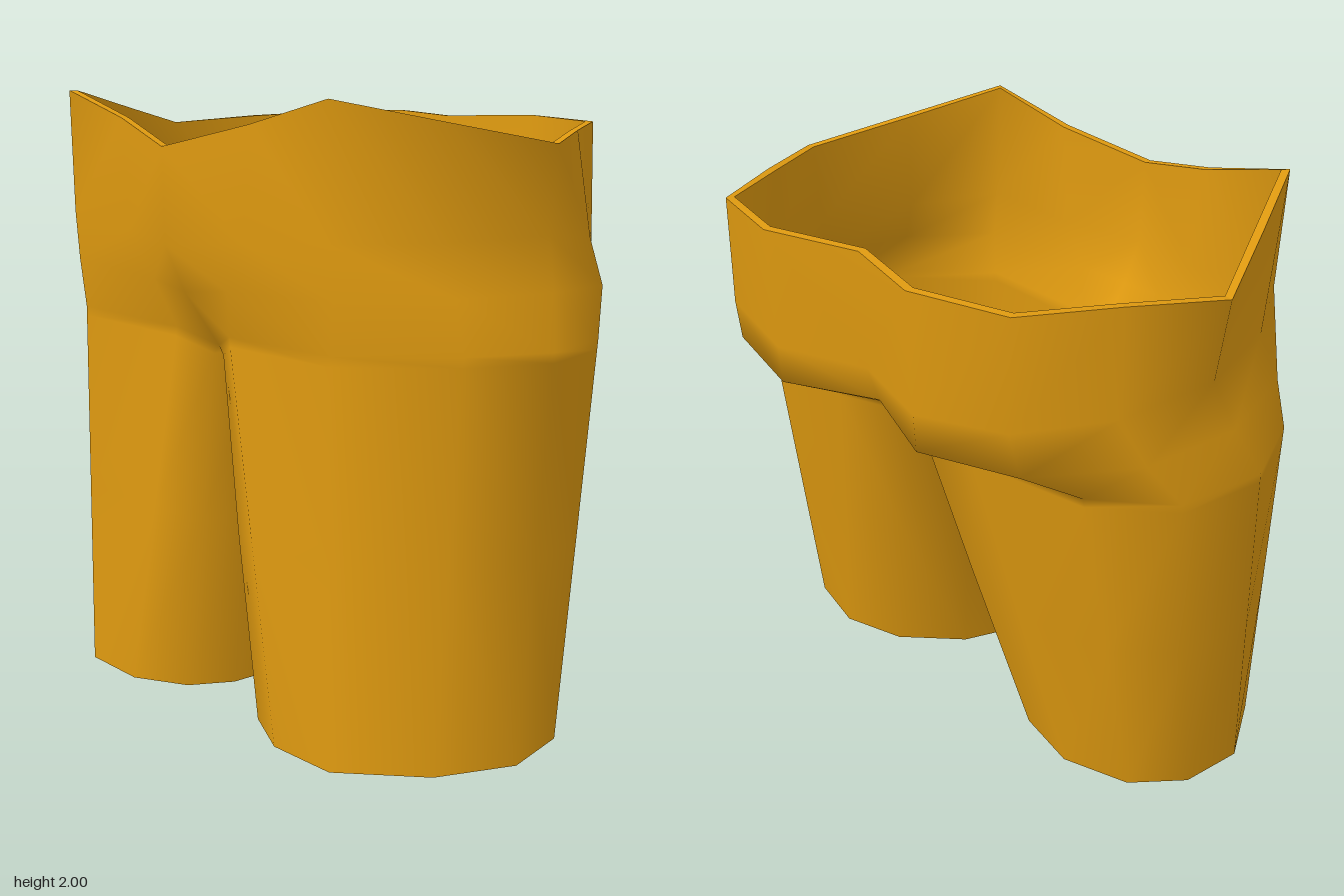
import * as THREE from 'three';
import { mergeVertices } from 'three/addons/utils/BufferGeometryUtils.js';

const THICKNESS = 0.027;

// Cross-sections of the left half, from front centre round the hip to back centre
const waist = [[0, 1.825, 0.70], [0.31, 1.90, 0.62], [0.625, 1.98, 0.60], [0.77, 1.92, 0.28], [0.915, 1.86, -0.05],
  [0.77, 1.89, -0.33], [0.62, 1.91, -0.61], [0.31, 1.92, -0.70], [0, 1.91, -0.60]];
const hip = [[0, 1.53, 0.70], [0.28, 1.55, 0.625], [0.62, 1.58, 0.60], [0.79, 1.58, 0.30], [0.885, 1.59, -0.05],
  [0.80, 1.56, -0.36], [0.62, 1.55, -0.61], [0.31, 1.52, -0.68], [0, 1.52, -0.585]];
const seat = [[0, 1.38, 0.63], [0.18, 1.40, 0.61], [0.62, 1.42, 0.59], [0.85, 1.43, 0.33], [0.94, 1.43, 0],
  [0.88, 1.42, -0.32], [0.64, 1.40, -0.58], [0.31, 1.39, -0.67], [0, 1.39, -0.54]];
// The leg ring continues along the crotch line back to the front
const legTop = [[0, 1.20, 0.50], [0.13, 1.25, 0.565], [0.60, 1.26, 0.585], [0.89, 1.27, 0.34], [1.0, 1.27, 0.07],
  [0.94, 1.27, -0.22], [0.72, 1.28, -0.40], [0.30, 1.28, -0.45], [0, 1.31, -0.41],
  [0, 1.22, -0.14], [0, 1.20, 0.10], [0, 1.20, 0.30]];
const hemOutline = [[0.18, 0.53], [0.36, 0.62], [0.60, 0.615], [0.84, 0.42], [0.965, 0.19], [0.935, -0.03],
  [0.80, -0.185], [0.57, -0.25], [0.345, -0.19], [0.155, -0.02], [0.06, 0.20], [0.09, 0.40]];
const hem = hemOutline.map(([x, z]) => [x, 0.015 + (0.63 - z) * 0.04, z]);

// Leg section between the crotch and the hem, keeping a gap between the legs
function legSection(t) {
  return legTop.map((p, i) => {
    const q = p.map((v, k) => v + (hem[i][k] - v) * t);
    q[0] = Math.max(q[0], 0.022);
    return q;
  });
}

// Slight sideways lean of the garment
function lean([x, y, z]) {
  return [x + 0.022 * (1.1 - y), y - 0.025 * x, z];
}

// Outer surface: both halves welded along the centre line
function outerSurface() {
  const pos = [];
  const tri = (a, b, c, side) => {
    const corners = side > 0 ? [a, b, c] : [a, c, b];
    corners.forEach(([x, y, z]) => pos.push(...lean([x * side, y, z])));
  };
  const band = (upper, lower, count, side) => {
    for (let i = 0; i < count; i++) {
      const j = (i + 1) % upper.length;
      tri(upper[i], lower[i], lower[j], side);
      tri(upper[i], lower[j], upper[j], side);
    }
  };
  const legRows = [legTop, legSection(0.025), legSection(0.5), hem];
  for (const side of [1, -1]) {
    band(waist, hip, 8, side);
    band(hip, seat, 8, side);
    band(seat, legTop, 8, side);
    for (let r = 0; r < 3; r++) band(legRows[r], legRows[r + 1], 12, side);
  }
  const g = new THREE.BufferGeometry();
  g.setAttribute('position', new THREE.Float32BufferAttribute(pos, 3));
  const welded = mergeVertices(g, 1e-4);
  welded.computeVertexNormals();
  return welded;
}

// Lining: outer surface moved inwards and turned inside out
function liningSurface(outer) {
  const g = outer.clone();
  const p = g.attributes.position, n = outer.attributes.normal;
  for (let i = 0; i < p.count; i++) {
    p.setXYZ(i, p.getX(i) - n.getX(i) * THICKNESS, p.getY(i) - n.getY(i) * THICKNESS, p.getZ(i) - n.getZ(i) * THICKNESS);
  }
  const idx = Array.from(outer.index.array);
  for (let i = 0; i < idx.length; i += 3) [idx[i + 1], idx[i + 2]] = [idx[i + 2], idx[i + 1]];
  g.setIndex(idx);
  g.computeVertexNormals();
  return g;
}

// Rims: close every open edge between outer surface and lining
function rimSurface(outer, lining) {
  const idx = outer.index.array, edges = new Set(), pos = [];
  const eachEdge = (fn) => {
    for (let i = 0; i < idx.length; i += 3) {
      for (let k = 0; k < 3; k++) fn(idx[i + k], idx[i + (k + 1) % 3]);
    }
  };
  eachEdge((a, b) => edges.add(a + '_' + b));
  const put = (geo, i) => {
    const p = geo.attributes.position;
    pos.push(p.getX(i), p.getY(i), p.getZ(i));
  };
  eachEdge((a, b) => {
    if (edges.has(b + '_' + a)) return;
    put(outer, b); put(outer, a); put(lining, a);
    put(outer, b); put(lining, a); put(lining, b);
  });
  const g = new THREE.BufferGeometry();
  g.setAttribute('position', new THREE.Float32BufferAttribute(pos, 3));
  g.computeVertexNormals();
  return g;
}

export function createModel() {
  const group = new THREE.Group();
  group.name = 'shorts';
  const cloth = new THREE.MeshStandardMaterial({ color: 0xdf9a10 });
  cloth.name = 'ochre cloth';
  const outer = outerSurface();
  const lining = liningSurface(outer);
  const parts = { outerCloth: outer, innerLining: lining, waistAndHemRims: rimSurface(outer, lining) };
  for (const [name, geometry] of Object.entries(parts)) {
    const mesh = new THREE.Mesh(geometry, cloth);
    mesh.name = name;
    group.add(mesh);
  }
  return group;
}
